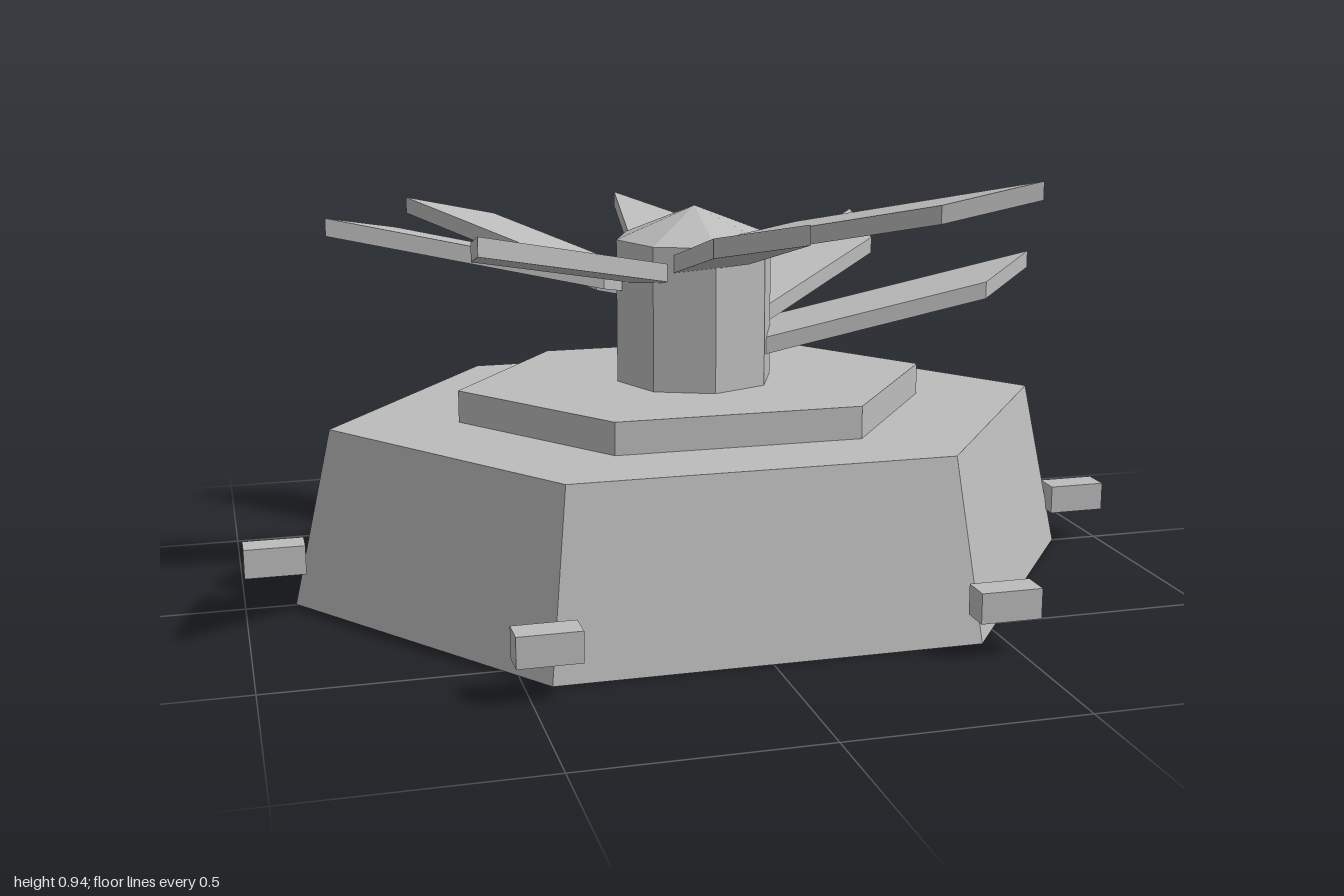
import * as THREE from 'three';

export function createModel() {
  const model = new THREE.Group();
  const grey = new THREE.MeshStandardMaterial({ color: 0xbcbcbc });
  grey.flatShading = true;

  const add = (name, geometry, x = 0, y = 0, z = 0) => {
    const mesh = new THREE.Mesh(geometry, grey);
    mesh.name = name;
    mesh.position.set(x, y, z);
    model.add(mesh);
    return mesh;
  };

  // Six-sided slab with corners on the x axis, squashed in z
  const hexSlab = (rTop, rBottom, height) =>
    new THREE.CylinderGeometry(rTop, rBottom, height, 6, 1, false, Math.PI / 2).scale(1, 1, 0.79);

  // Sloping base and the step on top of it
  add('base', hexSlab(0.807, 0.893, 0.385), 0, 0.1925, -0.004);
  add('step', hexSlab(0.53, 0.53, 0.075), 0, 0.4175, 0.003);

  // Octagonal column with a low pointed cap
  add('column', new THREE.CylinderGeometry(0.176, 0.176, 0.33, 8), 0, 0.605, 0);
  add('cap', new THREE.ConeGeometry(0.176, 0.07, 8), 0, 0.805, 0);

  // Slanted blade: a unit box sheared along its length, thickness and end edge
  const along = new THREE.Vector3(0.58, 0.128, 0.061);
  const thick = new THREE.Vector3(0, 0.038, 0);
  const end = new THREE.Vector3(-0.16, -0.043, 0.135);
  const centre = new THREE.Vector3(0.798, 0, 0)
    .addScaledVector(along, -0.5)
    .addScaledVector(thick, -0.5)
    .addScaledVector(end, 0.5);
  const bladeGeometry = new THREE.BoxGeometry(1, 1, 1).applyMatrix4(
    new THREE.Matrix4().makeBasis(along, thick, end).setPosition(centre)
  );

  // Eight blades climbing around the column like a spiral stair
  for (let i = 0; i < 8; i++) {
    add('blade', bladeGeometry, 0, 0.706 + i * 0.0334, 0).rotation.y = (i * Math.PI) / 4;
  }

  // Small blocks floating around the base
  const block = new THREE.BoxGeometry(0.13, 0.064, 0.064);
  for (const side of [-1, 1]) {
    add('sideBlock', block, side * 0.935, 0.11, 0);
    for (const end of [-1, 1]) add('cornerBlock', block, side * 0.467, 0.11, end * 0.667);
  }

  return model;
}
